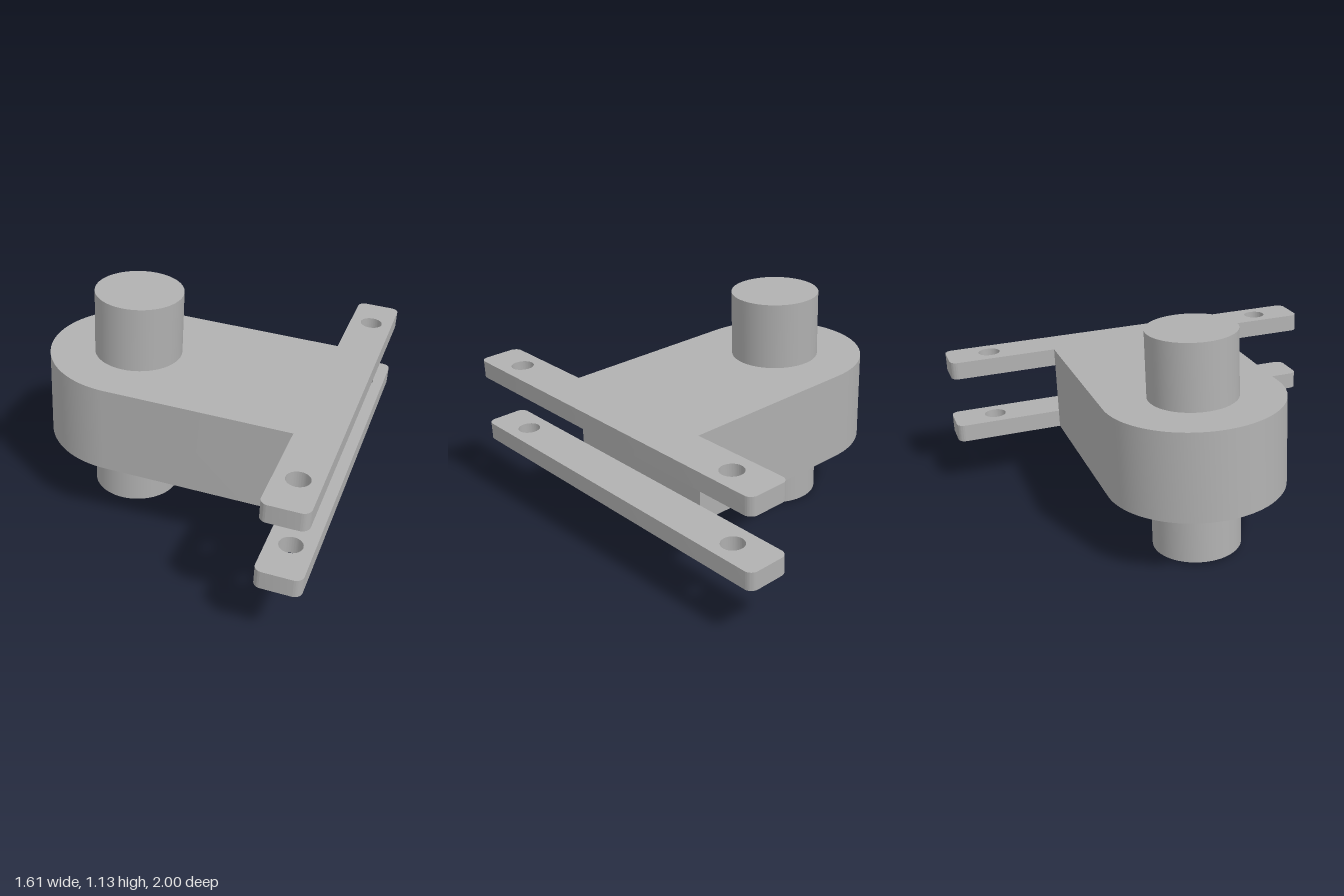
import * as THREE from 'three';
import { toCreasedNormals } from 'three/addons/utils/BufferGeometryUtils.js';

const BODY_R = 0.443, BODY_H = 0.445;      // rounded arm
const PIN_R = 0.22, PIN_L = 1.11;          // pivot pin
const BAR_X0 = 0.927, BAR_X1 = 1.146;      // mounting bars
const BAR_Z = 0.995, BAR_H = 0.09, CORNER = 0.04;
const HOLE_X = 1.037, HOLE_Z = 0.773, HOLE_R = 0.056;

// Extrude a plan shape upwards, centred on y = 0
function slab(shape, height) {
  const geo = new THREE.ExtrudeGeometry(shape, { depth: height, bevelEnabled: false, curveSegments: 32 });
  geo.translate(0, 0, -height / 2);
  geo.rotateX(-Math.PI / 2);
  return toCreasedNormals(geo, 0.6);
}

// Arm outline: half round at the pin, square at the bars
function armShape() {
  const s = new THREE.Shape();
  s.moveTo(0, -BODY_R);
  s.lineTo(BAR_X0, -BODY_R);
  s.lineTo(BAR_X0, BODY_R);
  s.lineTo(0, BODY_R);
  s.absarc(0, 0, BODY_R, Math.PI / 2, Math.PI * 1.5, false);
  return s;
}

// Bar outline: rounded corners and a bolt hole near each end
function barShape() {
  const s = new THREE.Shape(), c = CORNER;
  s.absarc(BAR_X1 - c, -BAR_Z + c, c, -Math.PI / 2, 0, false);
  s.absarc(BAR_X1 - c, BAR_Z - c, c, 0, Math.PI / 2, false);
  s.absarc(BAR_X0 + c, BAR_Z - c, c, Math.PI / 2, Math.PI, false);
  s.absarc(BAR_X0 + c, -BAR_Z + c, c, Math.PI, Math.PI * 1.5, false);
  s.closePath();
  for (const side of [-1, 1]) {
    const hole = new THREE.Path();
    hole.absarc(HOLE_X, side * HOLE_Z, HOLE_R, 0, Math.PI * 2, true);
    s.holes.push(hole);
  }
  return s;
}

export function createModel() {
  const model = new THREE.Group();
  model.name = 'pivotBracket';
  const metal = new THREE.MeshStandardMaterial({ color: 0xb0b0b0 });
  metal.name = 'grey metal';

  // The whole bracket leans slightly; its origin is the middle of the pin
  const bracket = new THREE.Group();
  bracket.name = 'bracket';
  bracket.position.set(-0.359, 0.564, 0.005);
  bracket.rotation.set(-0.021, 0.005, -0.038);
  model.add(bracket);

  const add = (name, geo, y = 0) => {
    const mesh = new THREE.Mesh(geo, metal);
    mesh.name = name;
    mesh.position.y = y;
    bracket.add(mesh);
  };

  add('arm', slab(armShape(), BODY_H));

  // Bars flush with the top and bottom of the arm
  const bar = slab(barShape(), BAR_H);
  const barY = (BODY_H - BAR_H) / 2;
  add('upperBar', bar, barY);
  add('lowerBar', bar, -barY);

  // Pin through the arm
  add('pin', new THREE.CylinderGeometry(PIN_R, PIN_R, PIN_L, 64));

  return model;
}
